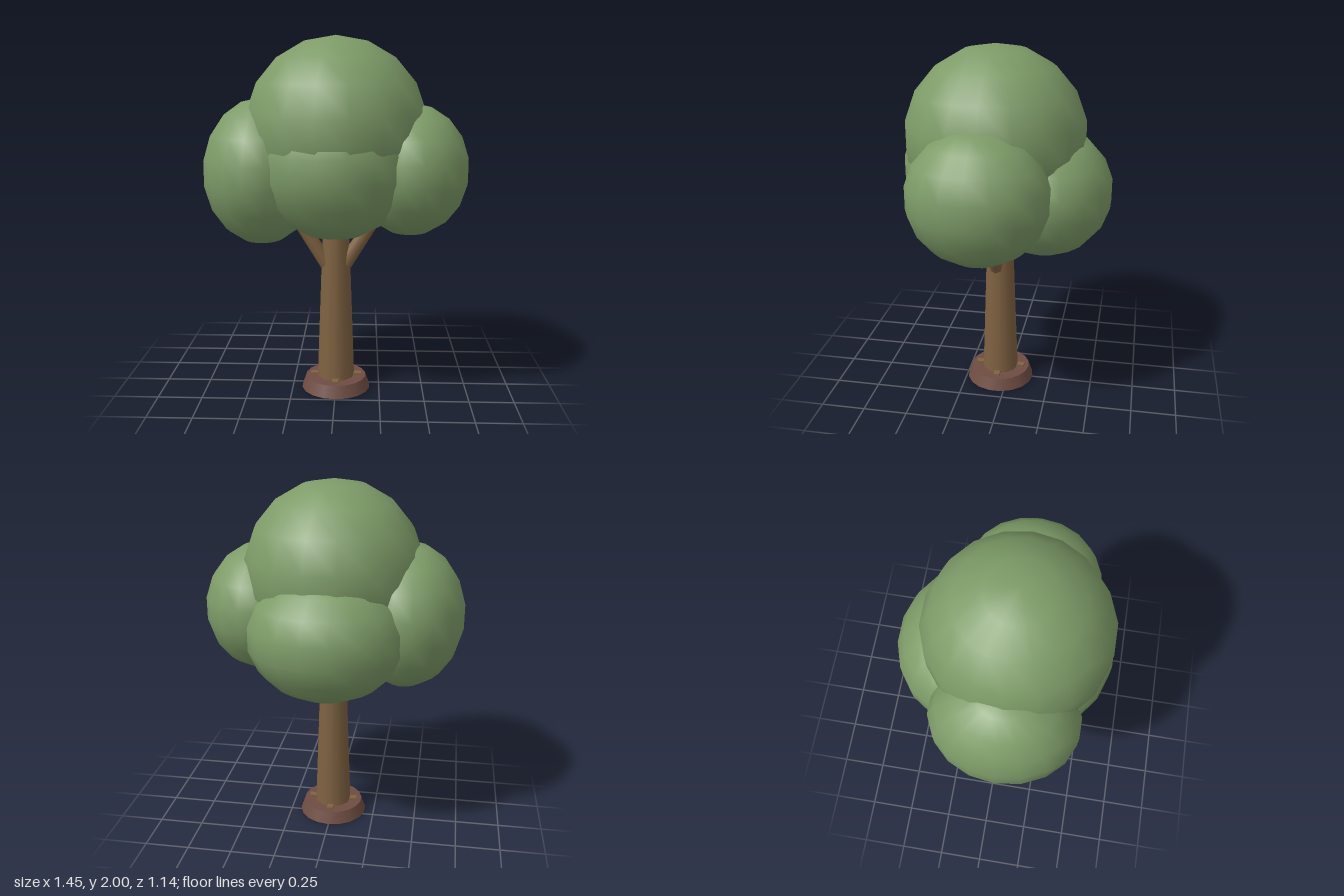
import * as THREE from 'three';

const paint = (name, color) => {
  const m = new THREE.MeshStandardMaterial({ color });
  m.name = name;
  return m;
};

export function createModel() {
  const leaf = paint('leaf green', 0x7d9b67);
  const bark = paint('bark brown', 0x7f6241);
  const soil = paint('soil brown', 0x6f4d42);

  const tree = new THREE.Group();
  tree.name = 'tree';

  const add = (name, geometry, material, x, y, z) => {
    const mesh = new THREE.Mesh(geometry, material);
    mesh.name = name;
    mesh.position.set(x, y, z);
    tree.add(mesh);
    return mesh;
  };

  // Foliage: overlapping stretched balls [name, centre, radii]
  const clumps = [
    ['crownTop', [0, 1.5, 0.07], [0.5, 0.5, 0.5]],
    ['crownFront', [0, 1.32, 0.21], [0.42, 0.4, 0.37]],
    ['crownBack', [0, 1.21, -0.21], [0.43, 0.355, 0.368]],
    ['crownLeft', [0.405, 1.283, 0.088], [0.323, 0.36, 0.38]],
    ['crownRight', [-0.405, 1.268, 0.066], [0.325, 0.403, 0.402]],
  ];
  const ball = new THREE.SphereGeometry(1, 18, 9);
  for (const [name, centre, radii] of clumps) {
    add(name, ball, leaf, ...centre).scale.set(...radii);
  }

  // Tapered trunk, its top hidden in the crown
  add('trunk', new THREE.CylinderGeometry(0.065, 0.108, 1.2, 12), bark, 0, 0.6, 0.05);

  // Mirrored branches leaning out into the side clumps
  for (const side of [-1, 1]) {
    const start = new THREE.Vector3(side * 0.05, 0.74, 0.062);
    const end = new THREE.Vector3(side * 0.29, 1.12, 0.075);
    const dir = end.clone().sub(start);
    const mid = start.clone().add(end).multiplyScalar(0.5);
    const branch = add(side > 0 ? 'leftBranch' : 'rightBranch',
      new THREE.CylinderGeometry(0.033, 0.042, dir.length(), 8), bark, mid.x, mid.y, mid.z);
    branch.quaternion.setFromUnitVectors(new THREE.Vector3(0, 1, 0), dir.normalize());
  }

  // Soil mound with sloping sides
  add('soilMound', new THREE.CylinderGeometry(0.173, 0.197, 0.069, 18), soil, 0, 0.0365, 0.05);

  // Small root stubs around the foot of the trunk
  for (let i = 0; i < 4; i++) {
    const a = (i * Math.PI) / 2;
    const root = add('rootStub', new THREE.BoxGeometry(0.06, 0.03, 0.035), bark,
      Math.cos(a) * 0.115, 0.069, 0.05 - Math.sin(a) * 0.115);
    root.rotation.y = a;
  }

  return tree;
}
